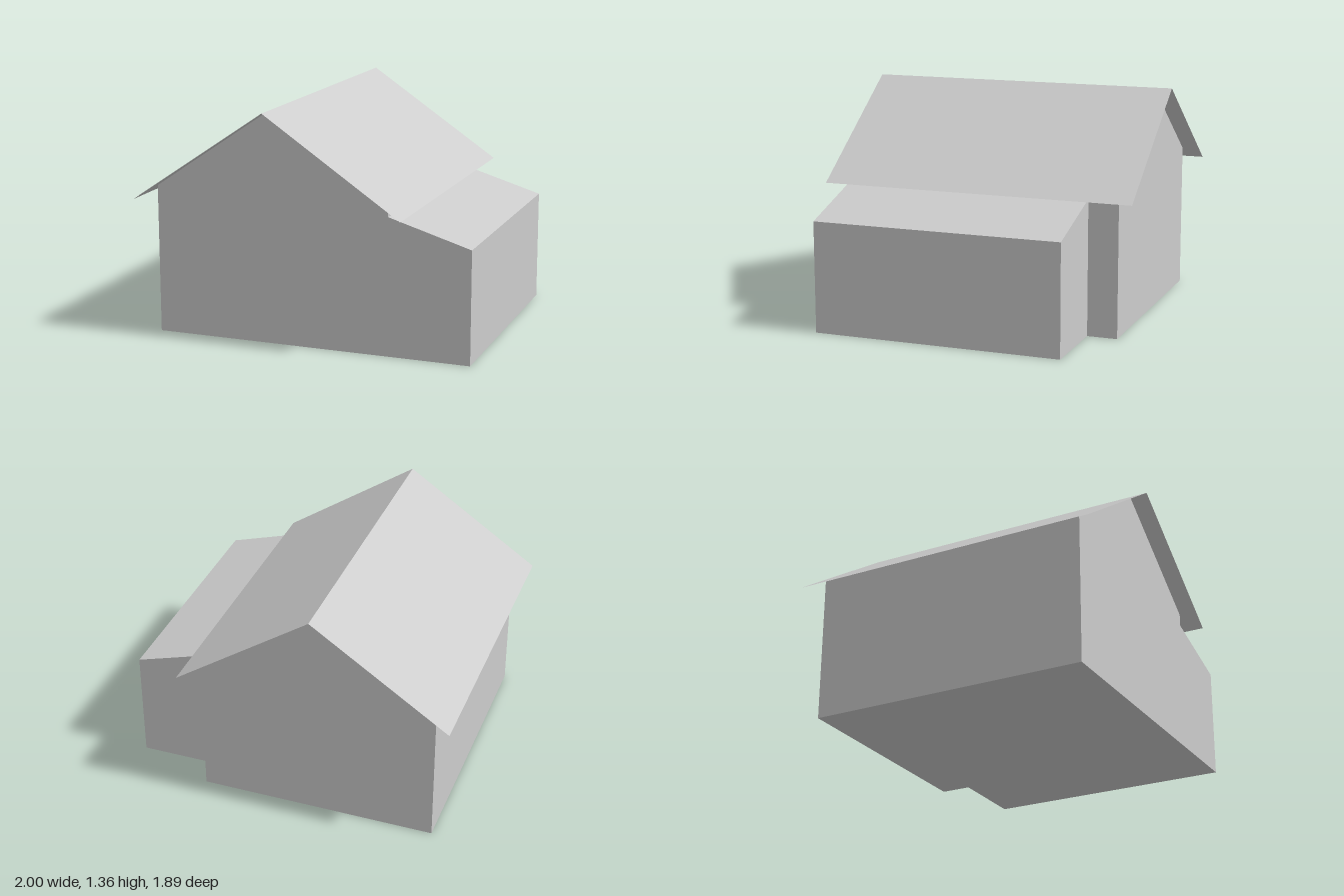
import * as THREE from 'three';

export function createModel() {
  const house = new THREE.Group();
  house.name = 'house';
  const grey = new THREE.MeshStandardMaterial({ color: 0xcccccc, flatShading: true, side: THREE.DoubleSide });
  grey.name = 'plain grey';

  const ridgeX = -0.188, ridgeY = 1.357;
  const wallHalf = 0.706, eaveY = 0.878; // gable half width and wall height
  const roofHalf = 0.812, roofEdgeY = 0.808; // roof with its overhang
  const wallRight = ridgeX + wallHalf;

  // Solid from an outline in x and y, running from z0 to z1
  function addPrism(name, outline, z0, z1) {
    const shape = new THREE.Shape(outline.map(([x, y]) => new THREE.Vector2(x, y)));
    const geometry = new THREE.ExtrudeGeometry(shape, { depth: z1 - z0, bevelEnabled: false });
    geometry.translate(0, 0, z0);
    const mesh = new THREE.Mesh(geometry, grey);
    mesh.name = name;
    house.add(mesh);
  }

  // Main body with gables at front and back
  addPrism('mainBody', [
    [ridgeX - wallHalf, 0], [wallRight, 0], [wallRight, eaveY],
    [ridgeX, ridgeY], [ridgeX - wallHalf, eaveY],
  ], -0.836, 0.836);

  // Lean-to on the left side, flush with the front and shorter at the back
  addPrism('leanTo', [
    [wallRight, 0], [1, 0], [1, 0.66], [wallRight, 0.805],
  ], -0.656, 0.836);

  // Two thin roof sheets meeting at the ridge
  const drop = ridgeY - roofEdgeY;
  for (const side of [-1, 1]) {
    const geometry = new THREE.PlaneGeometry(Math.hypot(roofHalf, drop), 1.886);
    geometry.rotateX(-Math.PI / 2);
    geometry.rotateZ(-side * Math.atan2(drop, roofHalf));
    const sheet = new THREE.Mesh(geometry, grey);
    sheet.name = side > 0 ? 'roofLeft' : 'roofRight';
    sheet.position.set(ridgeX + side * roofHalf / 2, ridgeY - drop / 2, 0);
    house.add(sheet);
  }
  return house;
}
